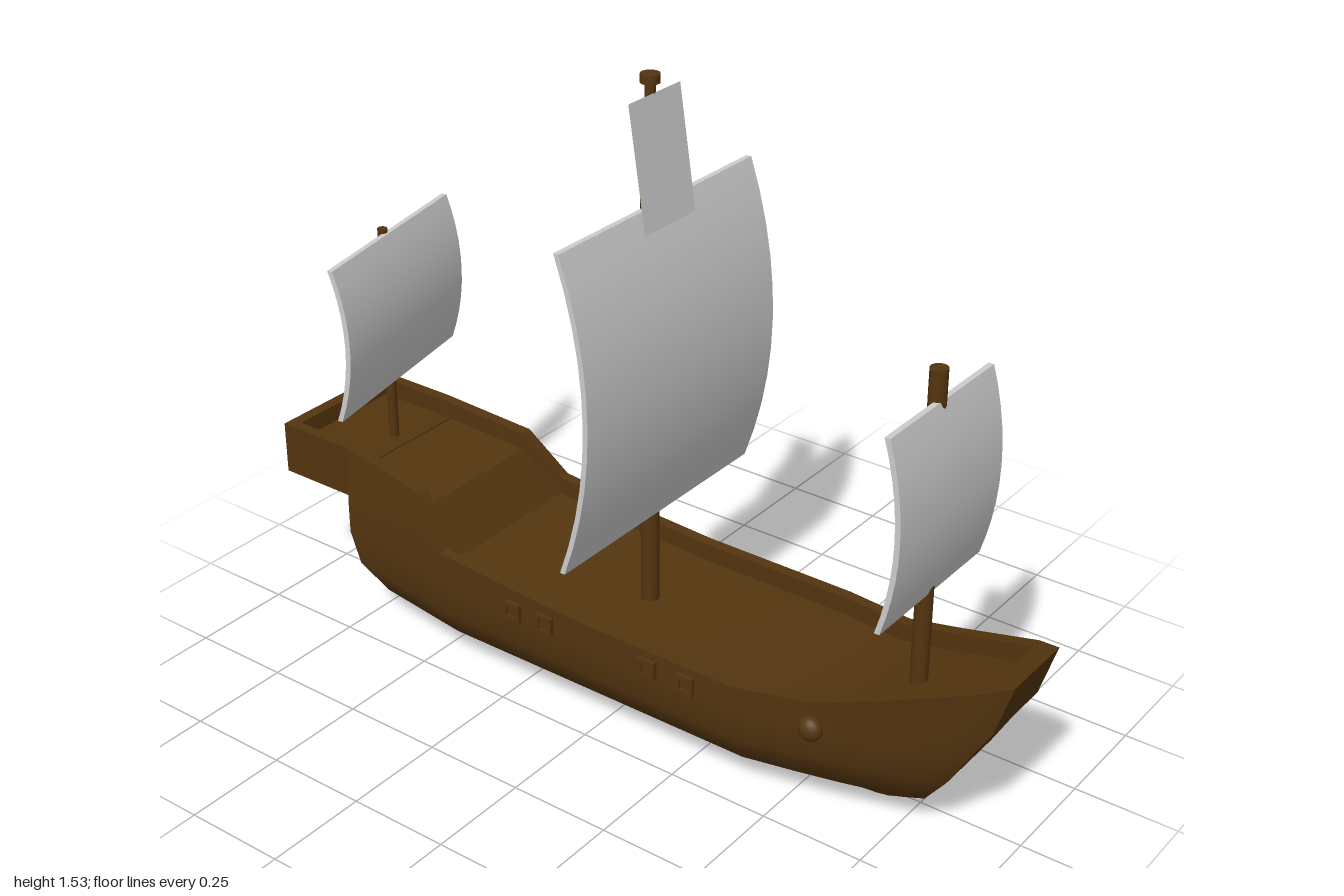
import * as THREE from 'three';
import { toCreasedNormals } from 'three/addons/utils/BufferGeometryUtils.js';

const wood = new THREE.MeshStandardMaterial({ color: 0x54350f });
const cloth = new THREE.MeshStandardMaterial({ color: 0xcccccc, side: THREE.DoubleSide });

function add(parent, name, geometry, material, x = 0, y = 0, z = 0) {
  const mesh = new THREE.Mesh(geometry, material);
  mesh.name = name;
  mesh.position.set(x, y, z);
  parent.add(mesh);
  return mesh;
}

// Hull: closed rings from stern to bow, running deck edge, rail, side, keel and mirrored back up
function hullGeometry() {
  // z, rail height, rail half width, body width factor, bulwark depth
  const stations = [
    [-0.78, 0.465, 0.18, 0.81, 0.045], [-0.53, 0.437, 0.203, 0.95, 0.045],
    [-0.44, 0.325, 0.24, 1, 0.045], [-0.2, 0.305, 0.24, 1, 0.045], [0, 0.295, 0.24, 1, 0.045],
    [0.4, 0.295, 0.24, 1, 0.045], [0.58, 0.31, 0.205, 0.86, 0.045], [0.73, 0.36, 0.174, 0.73, 0.045],
    [0.94, 0.438, 0.125, 0.52, 0.045], [0.94, 0.438, 0.125, 0.52, 0], [1, 0.46, 0.095, 0.4, 0],
  ];
  // height, half width, stern end, bow end
  const levels = [
    [0.33, 0.24, -0.78, 0.96], [0.24, 0.24, -0.78, 0.905], [0.16, 0.24, -0.75, 0.86],
    [0.08, 0.19, -0.7, 0.8], [0, 0.055, -0.62, 0.68],
  ];
  const rake = (z, stern, bow) =>
    z > 0.4 ? 0.4 + (z - 0.4) * (bow - 0.4) / 0.6
      : z < -0.44 ? -0.44 + (z + 0.44) * (stern + 0.44) / -0.34 : z;
  const pos = [], index = [];
  for (const [z, railY, railW, factor, drop] of stations) {
    const half = [[railW - 0.028, railY - drop, z], [railW - 0.028, railY, z], [railW, railY, z]];
    for (const [y, w, stern, bow] of levels) {
      half.push([w * factor, Math.min(y, railY - 0.015), rake(z, stern, bow)]);
    }
    for (const p of half) pos.push(...p);
    for (const [x, y, pz] of half.reverse()) pos.push(-x, y, pz);
  }
  const n = 16, last = (stations.length - 1) * n;
  const quad = (a, b, c, d) => index.push(a, b, c, a, c, d);
  for (let s = 0; s < stations.length - 1; s++) {
    for (let i = 0; i < n; i++) {
      const j = (i + 1) % n, a = s * n, b = a + n;
      quad(a + i, b + i, b + j, a + j);
    }
  }
  // Bow and stern faces
  for (let i = 2; i < 7; i++) {
    quad(last + i, last + 15 - i, last + 14 - i, last + i + 1);
    if (i > 2) quad(i + 1, 14 - i, 15 - i, i);
  }
  const g = new THREE.BufferGeometry();
  g.setAttribute('position', new THREE.Float32BufferAttribute(pos, 3));
  g.setIndex(index);
  return toCreasedNormals(g, 0.65);
}

// Curved sail: thin bowed profile extruded across the ship
function sailGeometry(width, height, bulge) {
  const t = 0.013, s = new THREE.Shape();
  s.moveTo(0, 0);
  s.quadraticCurveTo(bulge * 2, height / 2, 0, height);
  s.lineTo(-t, height);
  s.quadraticCurveTo(bulge * 2 - t, height / 2, -t, 0);
  s.closePath();
  const g = new THREE.ExtrudeGeometry(s, { depth: width, bevelEnabled: false, curveSegments: 10 });
  g.translate(0, 0, -width / 2);
  g.rotateY(-Math.PI / 2);
  return toCreasedNormals(g, 0.6);
}

function spar(parent, name, radius, bottom, top, z) {
  add(parent, name, new THREE.CylinderGeometry(radius, radius, top - bottom, 16), wood, 0, (bottom + top) / 2, z);
}

// Square gun port frame with a recessed lid
function gunPort(x, z) {
  const port = new THREE.Group();
  port.name = 'gunPort';
  const a = 0.023, b = 0.013;
  const frame = new THREE.Shape([[-a, -a], [a, -a], [a, a], [-a, a]].map(p => new THREE.Vector2(...p)));
  frame.holes.push(new THREE.Path([[-b, -b], [-b, b], [b, b], [b, -b]].map(p => new THREE.Vector2(...p))));
  add(port, 'portFrame', new THREE.ExtrudeGeometry(frame, { depth: 0.025, bevelEnabled: false }), wood, 0, 0, -0.012);
  add(port, 'portLid', new THREE.BoxGeometry(b * 2, b * 2, 0.015), wood);
  port.position.set(x, 0.253, z);
  port.rotation.y = Math.sign(x) * Math.PI / 2;
  return port;
}

export function createModel() {
  const ship = new THREE.Group();
  ship.name = 'sailingShip';
  add(ship, 'hull', hullGeometry(), wood);

  // Overhanging stern gallery with a sunken deck
  const gallery = new THREE.Group();
  gallery.name = 'sternGallery';
  ship.add(gallery);
  add(gallery, 'galleryFloor', new THREE.BoxGeometry(0.36, 0.088, 0.25), wood, 0, 0.376, -0.875);
  add(gallery, 'galleryBackRail', new THREE.BoxGeometry(0.36, 0.045, 0.03), wood, 0, 0.4425, -0.985);
  for (const side of [-1, 1]) {
    add(gallery, 'gallerySideRail', new THREE.BoxGeometry(0.028, 0.045, 0.19), wood, side * 0.166, 0.4425, -0.875);

    // Gun ports and bow bosses on each side
    for (const z of [0.28, 0.175, -0.12, -0.215]) ship.add(gunPort(side * 0.238, z));
    const boss = add(ship, 'bowBoss', new THREE.SphereGeometry(0.03, 16, 12), wood, side * 0.213, 0.252, 0.588);
    boss.scale.x = 0.8;
  }

  // Masts
  spar(ship, 'foreMast', 0.02, 0.28, 1.07, 0.725);
  spar(ship, 'mainMast', 0.022, 0.24, 1.31, 0);
  spar(ship, 'topMast', 0.012, 1.3, 1.52, 0);
  spar(ship, 'mastCap', 0.022, 1.515, 1.535, 0);
  spar(ship, 'mizzenMast', 0.012, 0.41, 0.98, -0.8);

  // Sails
  add(ship, 'foreSail', sailGeometry(0.41, 0.455, 0.036), cloth, 0, 0.545, 0.74);
  add(ship, 'mainSail', sailGeometry(0.685, 0.76, 0.07), cloth, 0, 0.49, 0.025);
  const mizzen = add(ship, 'mizzenSail', sailGeometry(0.52, 0.39, 0.035), cloth, 0.015, 0.58, -0.785);
  mizzen.rotation.y = 0.2;
  const topSail = add(ship, 'topSail', new THREE.PlaneGeometry(0.18, 0.288), cloth, 0, 1.352, 0.033);
  topSail.rotation.x = -0.15;
  return ship;
}
